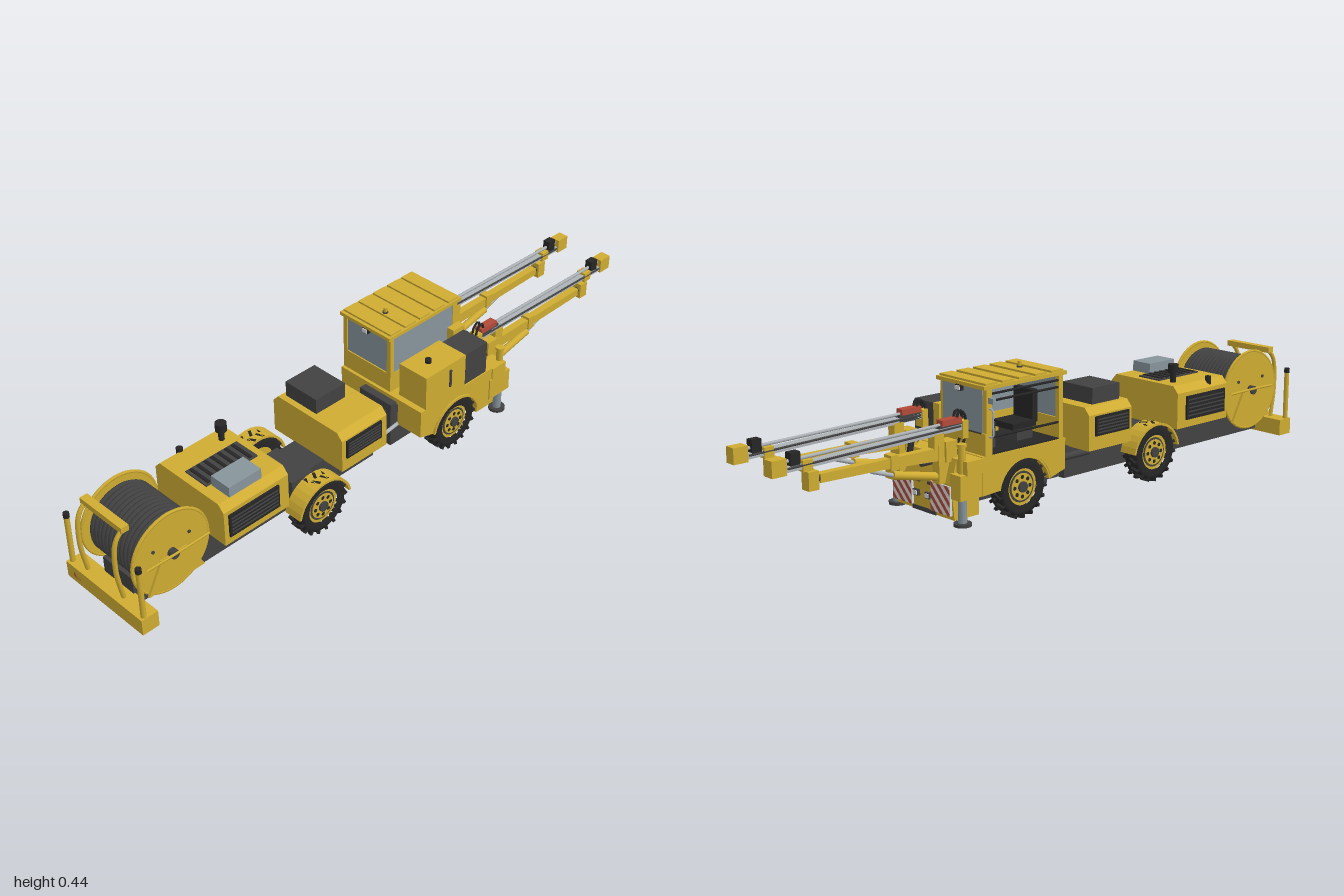
import * as THREE from 'three';
import { mergeGeometries } from 'three/addons/utils/BufferGeometryUtils.js';

const mat = (name, color, side = THREE.FrontSide) => {
  const m = new THREE.MeshStandardMaterial({ color, side });
  m.name = name;
  return m;
};

export function createModel() {
  const root = new THREE.Group();
  root.name = 'drillRig';
  const yellow = mat('yellow paint', 0xcfac32, THREE.DoubleSide);
  const dark = mat('dark grey', 0x424242);
  const black = mat('black', 0x262626);
  const glass = mat('glass', 0x87959b, THREE.DoubleSide);
  const silver = mat('silver', 0xadb2b6);
  const red = mat('red', 0xb24a38);
  const white = mat('white', 0xdadada);
  const C = 0.01; // centre line of the vehicle

  const add = (name, geo, m, parent = root) => {
    const mesh = new THREE.Mesh(geo, m);
    mesh.name = name;
    parent.add(mesh);
    return mesh;
  };
  // Box from its limits
  const box = (name, m, x0, x1, y0, y1, z0, z1) => add(name, new THREE.BoxGeometry(x1 - x0, y1 - y0, z1 - z0)
    .translate((x0 + x1) / 2, (y0 + y1) / 2, (z0 + z1) / 2), m);
  // Rod between two points
  const rod = (name, m, a, b, r, sides = 12) => {
    const A = new THREE.Vector3(...a), d = new THREE.Vector3(...b).sub(A);
    const mesh = add(name, new THREE.CylinderGeometry(r, r, d.length(), sides), m);
    mesh.position.copy(A).addScaledVector(d, 0.5);
    mesh.quaternion.setFromUnitVectors(new THREE.Vector3(0, 1, 0), d.normalize());
    return mesh;
  };
  const tube = (name, m, pts, r) => add(name, new THREE.TubeGeometry(
    new THREE.CatmullRomCurve3(pts.map(p => new THREE.Vector3(...p))), 16, r, 6), m);
  // Side profile (x, y) pushed along z
  const slab = (name, m, pts, z0, z1) => add(name, new THREE.ExtrudeGeometry(
    new THREE.Shape(pts.map(p => new THREE.Vector2(...p))), { depth: z1 - z0, bevelEnabled: false }).translate(0, 0, z0), m);

  // Chassis and centre joint
  box('rearFrame', dark, -0.95, -0.05, 0.05, 0.147, C - 0.065, C + 0.06);
  box('frontFrame', dark, 0.02, 0.38, 0.05, 0.2, C - 0.065, C + 0.065);
  box('jointBlock', dark, -0.06, 0.04, 0.075, 0.14, C - 0.05, C + 0.05);
  for (const y of [0.052, 0.075, 0.14, 0.162]) box('jointPlate', dark, -0.05, 0.02, y, y + 0.009, C - 0.045, C + 0.045);
  rod('jointPin', black, [-0.015, 0.045, C], [-0.015, 0.175, C], 0.016);
  for (const s of [-1, 1]) {
    rod('steeringCylinder', dark, [-0.14, 0.12, C + s * 0.075], [-0.02, 0.12, C + s * 0.075], 0.011);
    rod('steeringRod', silver, [-0.02, 0.12, C + s * 0.075], [0.07, 0.12, C + s * 0.065], 0.006);
  }

  // Wheels with staggered lugs
  const tyreGeo = new THREE.LatheGeometry([[0.054, -0.022], [0.074, -0.025], [0.085, -0.021], [0.086, 0],
    [0.085, 0.021], [0.074, 0.025], [0.054, 0.022]].map(p => new THREE.Vector2(...p)), 32).rotateX(Math.PI / 2);
  const lugs = [];
  for (let i = 0; i < 36; i++) {
    const s = i % 2 ? 1 : -1;
    lugs.push(new THREE.BoxGeometry(0.009, 0.014, 0.026).rotateY(s * 0.5).translate(0, 0.086, s * 0.012).rotateZ(i * Math.PI / 18));
  }
  const lugGeo = mergeGeometries(lugs);
  const arch = r => { const pts = []; for (let i = 0; i <= 14; i++) { const a = Math.PI * (0.06 + 0.88 * i / 14); pts.push([r * Math.cos(a), r * Math.sin(a)]); } return pts; };
  for (const x of [-0.35, 0.2]) {
    rod('axle', dark, [x, 0.093, -0.12], [x, 0.093, 0.145], 0.022);
    box('axleCase', dark, x - 0.04, x + 0.04, 0.06, 0.15, C - 0.075, C + 0.075);
    for (const s of [-1, 1]) {
      const wheel = new THREE.Group();
      wheel.name = 'wheel';
      wheel.position.set(x, 0.093, 0.012 + s * 0.135);
      root.add(wheel);
      add('tyre', tyreGeo, black, wheel);
      add('treadLugs', lugGeo, black, wheel);
      const disc = (name, m, r, t, z) => add(name, new THREE.CylinderGeometry(r, r, t, 28).rotateX(Math.PI / 2).translate(0, 0, s * z), m, wheel);
      disc('rim', yellow, 0.056, 0.034, 0);
      disc('rimRecess', dark, 0.046, 0.002, 0.0175);
      disc('wheelDisc', yellow, 0.04, 0.004, 0.0185);
      disc('hub', dark, 0.016, 0.014, 0.02);
      for (let i = 0; i < 8; i++) {
        const a = i * Math.PI / 4;
        add('rimHole', new THREE.CylinderGeometry(0.006, 0.006, 0.002, 8).rotateX(Math.PI / 2)
          .translate(0.029 * Math.cos(a), 0.029 * Math.sin(a), s * 0.0205), black, wheel);
      }
      const f = slab('fender', yellow, [...arch(0.102), ...arch(0.095).reverse()], 0, 0.06);
      f.position.set(x, 0.084, 0.012 + s * 0.138 - 0.03);
    }
  }

  // Hoods with chamfered long edges and louvred side grilles
  const hood = (x0, x1, y1, g) => {
    const s = new THREE.Shape([[-0.14, 0.145], [0.145, 0.145], [0.145, y1 - 0.022], [0.125, y1], [-0.12, y1], [-0.14, y1 - 0.022]].map(p => new THREE.Vector2(-p[0], p[1])));
    add('hood', new THREE.ExtrudeGeometry(s, { depth: x1 - x0, bevelEnabled: false }).rotateY(Math.PI / 2).translate(x0, 0, 0), yellow);
    for (const z of [-0.142, 0.147]) {
      box('grille', black, g[0], g[1], g[2], g[3], z - 0.004, z + 0.004);
      for (let i = 1; i < 6; i++) {
        const y = g[2] + (g[3] - g[2]) * i / 6;
        box('grilleSlat', dark, g[0] + 0.006, g[1] - 0.006, y - 0.002, y + 0.002, z - 0.006, z + 0.006);
      }
    }
  };
  hood(-0.69, -0.457, 0.28, [-0.675, -0.495, 0.17, 0.245]);
  hood(-0.25, -0.07, 0.275, [-0.235, -0.095, 0.188, 0.248]);
  box('topGrille', dark, -0.665, -0.48, 0.28, 0.284, -0.04, 0.048);
  for (let i = 0; i < 7; i++) box('topGrilleSlat', black, -0.655 + i * 0.025, -0.645 + i * 0.025, 0.284, 0.287, -0.035, 0.043);
  box('coolerBox', glass, -0.65, -0.535, 0.28, 0.313, 0.052, 0.125);
  rod('intakePipe', black, [-0.5, 0.28, -0.08], [-0.5, 0.315, -0.08], 0.009);
  rod('intakeCap', black, [-0.5, 0.312, -0.08], [-0.5, 0.338, -0.08], 0.017, 16);
  rod('fillerCap', black, [-0.615, 0.262, -0.125], [-0.615, 0.29, -0.125], 0.01);
  box('topTank', dark, -0.23, -0.115, 0.275, 0.325, -0.107, 0.02);

  // Cable reel
  const rx = -0.847, ry = 0.207;
  rod('cableDrum', black, [rx, ry, -0.1], [rx, ry, 0.107], 0.1, 36);
  for (let i = 0; i < 13; i++) add('cableTurn', new THREE.TorusGeometry(0.102, 0.0075, 6, 36).translate(rx, ry, -0.09 + i * 0.0155), dark);
  for (const s of [-1, 1]) {
    const z = 0.003 + s * 0.107;
    rod('reelFlange', yellow, [rx, ry, z - 0.004], [rx, ry, z + 0.004], 0.13, 48);
    add('flangeRim', new THREE.TorusGeometry(0.127, 0.005, 6, 48).translate(rx, ry, z), yellow);
    rod('reelHub', dark, [rx, ry, z], [rx, ry, z + s * 0.022], 0.014, 16);
    for (let i = 0; i < 3; i++) {
      const a = i * 2.094 + 0.5, p = [rx + 0.07 * Math.cos(a), ry + 0.07 * Math.sin(a)];
      rod('flangeBolt', dark, [...p, z], [...p, z + s * 0.008], 0.005, 8);
    }
    slab('reelSupport', yellow, [[-0.94, 0.11], [-0.75, 0.11], [-0.8, 0.205], [-0.89, 0.205]], z + s * 0.012 - 0.004, z + s * 0.012 + 0.004);
    tube('reelGuard', yellow, [[-0.94, 0.21, z + s * 0.02], [rx, 0.213, z + s * 0.024], [-0.73, 0.21, z + s * 0.02]], 0.004);
  }

  // Rear bumper, posts and cable guide
  box('rearBumper', yellow, -1, -0.945, 0.043, 0.095, -0.16, 0.165);
  box('bumperLamp', red, -1, -0.996, 0.06, 0.075, -0.13, -0.1);
  for (const z of [-0.15, 0.155]) {
    rod('bumperPost', yellow, [-0.985, 0.09, z], [-0.985, 0.25, z], 0.008);
    rod('postLamp', black, [-0.985, 0.25, z], [-0.985, 0.265, z], 0.009);
  }
  for (const z of [-0.095, 0.06]) tube('guideArm', yellow, [[-0.975, 0.09, z], [-0.99, 0.2, z], [-0.98, 0.29, z], [-0.95, 0.325, z]], 0.007);
  box('guideBar', yellow, -0.965, -0.94, 0.315, 0.333, -0.105, 0.07);

  // Front body with wheel cut-outs
  const cut = arch(0.1).map(([x, y]) => [0.2 + x, 0.085 + y]);
  for (const [z0, z1] of [[-0.158, -0.06], [0.08, 0.174]])
    slab('sideBody', yellow, [[0.045, 0.12], [0.045, 0.21], [0.36, 0.21], [0.36, 0.1], ...cut], z0, z1);
  box('bodyDeck', yellow, 0.045, 0.36, 0.193, 0.212, -0.158, 0.174);
  slab('nose', yellow, [[0.34, 0.035], [0.43, 0.035], [0.44, 0.14], [0.42, 0.21], [0.34, 0.21]], -0.117, 0.137);
  box('noseSkid', dark, 0.36, 0.434, 0.034, 0.046, -0.04, 0.063);
  for (const z of [0.037, -0.015]) {
    box('headlampCase', dark, 0.43, 0.444, 0.079, 0.097, z - 0.011, z + 0.011);
    box('headlamp', white, 0.444, 0.447, 0.082, 0.094, z - 0.008, z + 0.008);
    box('noseSlot', dark, 0.43, 0.443, 0.122, 0.13, z - 0.018, z - 0.001);
  }
  // Hazard panels
  const edge = c => c <= 1 ? [[0, c], [c, 0]] : [[c - 1, 1], [1, c - 1]];
  for (const z of [0.137, -0.031]) {
    box('hazardPanel', white, 0.436, 0.444, 0.05, 0.135, z - 0.084, z);
    for (let i = 0; i < 5; i++) {
      const a = i * 0.4 + 0.08, b = Math.min(a + 0.2, 2), [p, q] = [edge(a), edge(b)];
      const mid = a < 1 && b > 1;
      const pts = [p[0], ...(mid ? [[0, 1]] : []), q[0], q[1], ...(mid ? [[1, 0]] : []), p[1]];
      const sh = new THREE.Shape(pts.map(v => new THREE.Vector2(v[0] * 0.084, v[1] * 0.085)));
      add('hazardStripe', new THREE.ShapeGeometry(sh).rotateY(Math.PI / 2).translate(0.4455, 0.05, z), red);
    }
  }
  // Jacks
  for (const z of [0.156, -0.134]) {
    box('jackBracket', yellow, 0.35, 0.44, 0.1, 0.172, z - 0.022, z + 0.022);
    box('jackArm', yellow, 0.36, 0.42, 0.17, 0.21, z - 0.028, z + 0.022);
    rod('jackSleeve', yellow, [0.415, 0.1, z], [0.415, 0.25, z], 0.011);
    rod('jackCap', yellow, [0.415, 0.248, z], [0.415, 0.256, z], 0.014);
    rod('jackRod', glass, [0.415, 0.03, z], [0.415, 0.1, z], 0.013);
    rod('jackPad', dark, [0.415, 0.022, z], [0.415, 0.031, z], 0.026, 16);
  }

  // Side cabinets
  box('sideCabinet', yellow, 0.065, 0.235, 0.21, 0.325, 0.066, 0.174);
  box('cabinetHandle', dark, 0.165, 0.172, 0.245, 0.305, 0.172, 0.178);
  box('controlCabinet', dark, 0.24, 0.335, 0.2, 0.32, 0.075, 0.17);
  rod('cabinetCap', black, [0.13, 0.32, 0.12], [0.13, 0.337, 0.12], 0.01);
  box('cabinetBracket', yellow, 0.3, 0.35, 0.21, 0.327, 0.04, 0.066);

  // Cab: walls, pillars, glazing, roof
  box('cabFrontWall', yellow, 0.335, 0.35, 0.21, 0.275, -0.158, 0.038);
  box('cabRearWall', yellow, 0.055, 0.07, 0.21, 0.275, -0.158, 0.038);
  box('cabSideWall', yellow, 0.055, 0.35, 0.21, 0.275, 0.026, 0.038);
  for (const x of [0.055, 0.325]) for (const z of [-0.158, 0.023])
    box('cabPillar', yellow, x, x + (x < 0.1 ? 0.015 : 0.02), 0.21, 0.402, z, z + 0.015);
  box('windscreen', glass, 0.341, 0.347, 0.275, 0.4, -0.143, 0.026);
  box('rearWindow', glass, 0.059, 0.065, 0.275, 0.4, -0.143, 0.026);
  box('sideWindow', glass, 0.07, 0.328, 0.275, 0.4, 0.03, 0.036);
  box('wiper', dark, 0.347, 0.35, 0.272, 0.276, -0.14, 0.024);
  box('cabRoof', yellow, 0.045, 0.357, 0.4, 0.411, -0.163, 0.042);
  for (let i = 0; i < 5; i++) box('roofRib', yellow, 0.056 + i * 0.062, 0.1 + i * 0.062, 0.411, 0.417, -0.158, 0.037);
  rod('beaconBase', dark, [0.13, 0.415, -0.057], [0.13, 0.421, -0.057], 0.009);
  rod('beacon', yellow, [0.13, 0.42, -0.057], [0.13, 0.435, -0.057], 0.006);
  for (const x of [0.045, 0.35]) {
    box('workLampCase', black, x, x + 0.012, 0.385, 0.401, -0.068, -0.046);
    box('workLamp', white, x < 0.1 ? x - 0.003 : x + 0.012, x < 0.1 ? x : x + 0.015, 0.387, 0.399, -0.066, -0.048);
  }
  box('mirror', glass, 0.33, 0.34, 0.361, 0.377, -0.18, -0.153);
  tube('grabRail', silver, [[0.335, 0.345, -0.155], [0.335, 0.343, -0.172], [0.335, 0.305, -0.173], [0.335, 0.268, -0.172], [0.335, 0.266, -0.155]], 0.003);
  // Open door side and interior
  for (const y of [0.262, 0.365, 0.385]) rod('doorBar', black, [0.07, y, -0.153], [0.33, y, -0.153], 0.0035, 6);
  box('cabFloor', black, 0.07, 0.335, 0.21, 0.216, -0.155, 0.026);
  box('seatBase', dark, 0.12, 0.18, 0.214, 0.25, -0.1, -0.02);
  box('seatCushion', black, 0.11, 0.2, 0.25, 0.268, -0.105, -0.015);
  box('seatBack', black, 0.1, 0.12, 0.26, 0.355, -0.1, -0.02);
  box('console', dark, 0.27, 0.33, 0.214, 0.29, -0.11, 0.015);
  rod('steeringColumn', black, [0.28, 0.28, -0.06], [0.25, 0.31, -0.06], 0.006);

  // Twin drilling booms
  for (const z of [0.1, -0.076]) {
    const inward = z > 0 ? -1 : 1;
    // Mast and lift cylinder
    box('boomPost', yellow, 0.395, 0.46, 0.14, 0.25, z - 0.015, z + 0.015);
    box('boomHead', yellow, 0.4, 0.44, 0.2, 0.258, z - 0.022, z + 0.022);
    rod('liftCylinder', yellow, [0.45, 0.158, z], [0.61, 0.193, z], 0.012);
    rod('liftCylinderCap', black, [0.44, 0.156, z], [0.455, 0.159, z], 0.014);
    rod('liftRod', silver, [0.61, 0.193, z], [0.68, 0.217, z], 0.006);
    rod('swingCylinder', black, [0.42, 0.225, z + inward * 0.02], [0.46, 0.19, z + inward * 0.058], 0.009);
    rod('swingPivot', dark, [0.43, 0.19, z + inward * 0.052], [0.47, 0.19, z + inward * 0.052], 0.011);
    // Telescopic boom
    slab('boomArm', yellow, [[0.43, 0.205], [0.66, 0.218], [0.85, 0.222], [0.85, 0.246], [0.43, 0.243]], z - 0.012, z + 0.012);
    box('boomCollar', yellow, 0.6, 0.625, 0.21, 0.252, z - 0.016, z + 0.016);
    box('boomEnd', yellow, 0.858, 0.89, 0.207, 0.258, z - 0.016, z + 0.016);
    rod('boomPin', dark, [0.84, 0.234, z], [0.87, 0.234, z], 0.01);
    box('feedBracket', yellow, 0.44, 0.475, 0.24, 0.282, z - 0.014, z + 0.014);
    // Feed rail, carriage and drill
    slab('feedRail', silver, [[0.37, 0.28], [0.96, 0.268], [0.96, 0.283], [0.37, 0.297]], z - 0.012, z + 0.012);
    for (const s of [-1, 1]) rod('railHose', dark, [0.38, 0.292, z + s * 0.014], [0.95, 0.279, z + s * 0.014], 0.003, 6);
    rod('drillSteel', silver, [0.44, 0.303, z], [0.98, 0.295, z], 0.005, 8);
    box('feedEnd', yellow, 0.955, 1, 0.263, 0.308, z - 0.017, z + 0.017);
    box('steelGuide', black, 0.91, 0.94, 0.278, 0.318, z - 0.012, z + 0.012);
    box('railClamp', yellow, 0.875, 0.905, 0.262, 0.292, z - 0.016, z + 0.016);
    box('feedTail', yellow, 0.355, 0.375, 0.255, 0.306, z - 0.017, z + 0.017);
    box('drillCradle', dark, 0.375, 0.455, 0.28, 0.302, z - 0.012, z + 0.012);
    box('rockDrill', red, 0.375, 0.445, 0.3, 0.317, z - 0.013, z + 0.013);
    for (const s of [-1, 1]) tube('drillHose', black, [[0.39, 0.31, z + s * 0.007], [0.38, 0.335, z + s * 0.007],
      [0.36, 0.32, z + s * 0.007], [0.365, 0.25, z + s * 0.01], [0.4, 0.215, z + s * 0.016]], 0.004);
  }
  return root;
}
